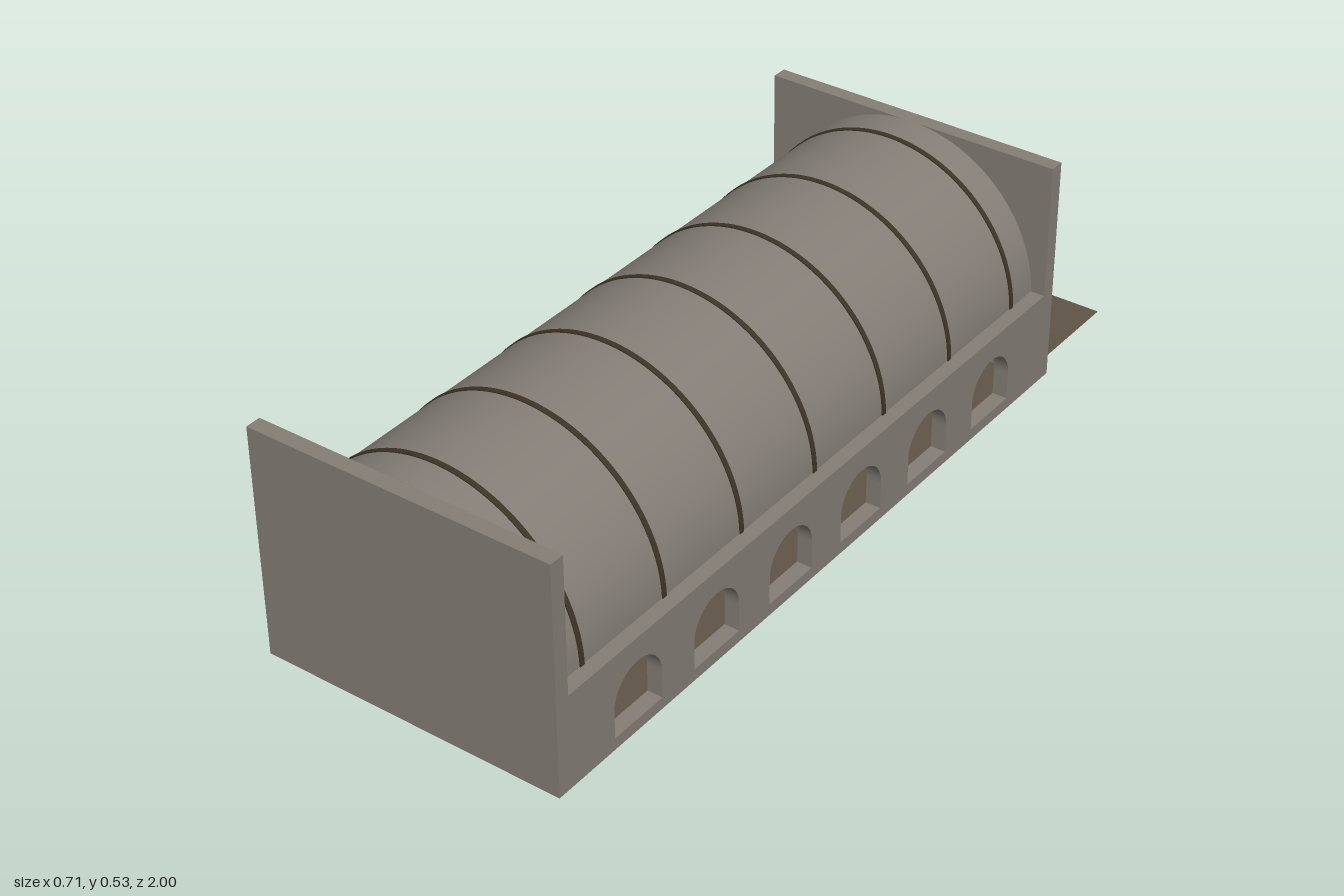
import * as THREE from 'three';

const stone = new THREE.MeshStandardMaterial({ color: 0x857e77, side: THREE.DoubleSide });
stone.name = 'grey stone';
const earth = new THREE.MeshStandardMaterial({ color: 0x5f5547, side: THREE.DoubleSide });
earth.name = 'brown floor';
const wood = new THREE.MeshStandardMaterial({ color: 0x3d3428, side: THREE.DoubleSide });
wood.name = 'dark wood';

const HALF_W = 0.355, THICK = 0.035, INNER = HALF_W - THICK;
const FRONT = 1, BACK = -0.715, WALL_TOP = 0.217, END_TOP = 0.53;
const VAULT_Y = 0.2085, VAULT_R = 0.322, BAY = 0.2467;

function add(group, name, geometry, material, x = 0, y = 0, z = 0) {
  const mesh = new THREE.Mesh(geometry, material);
  mesh.name = name;
  mesh.position.set(x, y, z);
  group.add(mesh);
  return mesh;
}

// Side wall drawn in (-z, y) and extruded through its thickness
function sideWallGeometry() {
  const z0 = -(FRONT - THICK), z1 = -(BACK + THICK);
  const wall = new THREE.Shape();
  wall.moveTo(z0, 0).lineTo(z1, 0).lineTo(z1, WALL_TOP).lineTo(z0, WALL_TOP).closePath();
  const r = 0.0725, sill = 0.027, spring = 0.091;
  for (let i = 0; i < 6; i++) {
    const c = -(0.762 - i * BAY);
    const hole = new THREE.Path();
    hole.moveTo(c - r, sill).lineTo(c + r, sill).lineTo(c + r, spring);
    hole.absarc(c, spring, r, 0, Math.PI, false);
    hole.lineTo(c - r, sill);
    wall.holes.push(hole);
  }
  const g = new THREE.ExtrudeGeometry(wall, { depth: THICK, bevelEnabled: false, curveSegments: 16 });
  return g.rotateY(Math.PI / 2);
}

// Semicircular arch band, solid between two radii
function archGeometry(inner, outer, depth) {
  const s = new THREE.Shape();
  s.absarc(0, 0, outer, 0, Math.PI, false);
  s.absarc(0, 0, inner, Math.PI, 0, true);
  s.closePath();
  return new THREE.ExtrudeGeometry(s, { depth, bevelEnabled: false, curveSegments: 48 })
    .translate(0, 0, -depth / 2);
}

export function createModel() {
  const model = new THREE.Group();
  model.name = 'vaultedHall';

  // Ground sheet under the hall and apse
  add(model, 'floor', new THREE.PlaneGeometry(INNER * 2, 2).rotateX(-Math.PI / 2), earth);

  // Arcaded side walls
  const wall = sideWallGeometry();
  add(model, 'leftWall', wall, stone, INNER);
  add(model, 'rightWall', wall, stone, -HALF_W);

  // Tall end walls
  const end = new THREE.BoxGeometry(HALF_W * 2, END_TOP, THICK);
  add(model, 'frontWall', end, stone, 0, END_TOP / 2, FRONT - THICK / 2);
  add(model, 'backWall', end, stone, 0, END_TOP / 2, BACK + THICK / 2);

  // Barrel vault
  const length = FRONT - BACK - THICK * 2;
  const vault = new THREE.CylinderGeometry(VAULT_R, VAULT_R, length, 64, 1, true, Math.PI / 2, Math.PI)
    .rotateX(Math.PI / 2);
  add(model, 'barrelVault', vault, stone, 0, VAULT_Y, (FRONT + BACK) / 2);

  // Ribs across the vault
  const rib = archGeometry(0.314, 0.3245, 0.012);
  for (let i = 0; i < 7; i++) add(model, 'vaultRib', rib, wood, 0, VAULT_Y, 0.884 - i * BAY);

  // Apse: half drum with a quarter-sphere dome
  const apseR = 0.228, drumH = 0.17;
  add(model, 'apseDrum',
    new THREE.CylinderGeometry(apseR, apseR, drumH, 48, 1, true, Math.PI / 2, Math.PI),
    stone, 0, drumH / 2, BACK);
  add(model, 'apseDome',
    new THREE.SphereGeometry(apseR, 48, 16, Math.PI, Math.PI, 0, Math.PI / 2),
    stone, 0, drumH, BACK);

  // Low blocks standing inside the hall
  const block = new THREE.BoxGeometry(0.09, 0.042, 0.09);
  for (let i = 0; i < 4; i++) {
    for (const x of i < 3 ? [-0.215, 0.215] : [0]) {
      add(model, 'lowBlock', block, wood, x, 0.0215, 0.515 - i * BAY);
    }
  }
  return model;
}
